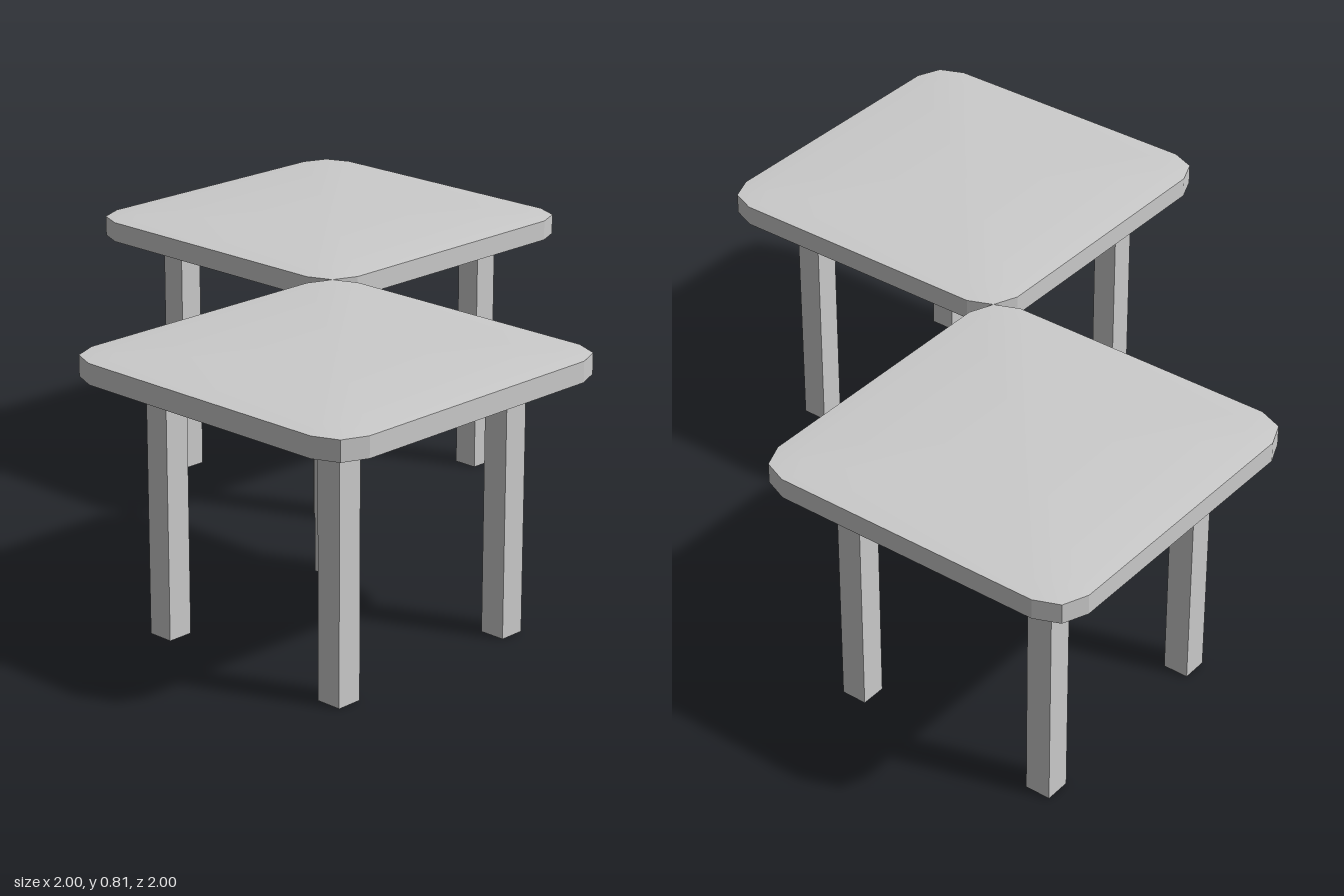
import * as THREE from 'three';
import { toCreasedNormals } from 'three/addons/utils/BufferGeometryUtils.js';

const material = new THREE.MeshStandardMaterial({ color: 0xcccccc });

// Square outline with each corner eased by two short edges.
function outline() {
  const pts = [];
  for (let q = 0; q < 4; q++) {
    const c = Math.round(Math.cos(q * Math.PI / 2)), s = Math.round(Math.sin(q * Math.PI / 2));
    for (const [x, z] of [[0.515, 0.412], [0.485, 0.485], [0.412, 0.515]]) {
      pts.push([x * c - z * s, x * s + z * c]);
    }
  }
  return pts;
}

// Slab lofted through scaled outlines: flat faces, shallow bevels, upright rim.
function slabGeometry() {
  const base = outline(), n = base.length, pos = [];
  const levels = [[0, 0.738], [0.87, 0.738], [1, 0.745], [1, 0.805], [0.87, 0.812], [0, 0.812]];
  const at = (l, i) => {
    const [scale, y] = levels[l], [x, z] = base[i % n];
    return [x * scale, y, z * scale];
  };
  for (let l = 0; l < levels.length - 1; l++) {
    for (let i = 0; i < n; i++) {
      const a = at(l, i), b = at(l, i + 1), c = at(l + 1, i + 1), d = at(l + 1, i);
      // The first and last levels are points, so they take one triangle per side
      if (l > 0) pos.push(...a, ...c, ...b);
      if (l < levels.length - 2) pos.push(...a, ...d, ...c);
    }
  }
  const geometry = new THREE.BufferGeometry();
  geometry.setAttribute('position', new THREE.Float32BufferAttribute(pos, 3));
  return toCreasedNormals(geometry, 0.35);
}

function createTable(name) {
  const table = new THREE.Group();
  table.name = name;

  const top = new THREE.Mesh(slabGeometry(), material);
  top.name = 'tableTop';
  table.add(top);

  // Four square legs
  const legGeometry = new THREE.BoxGeometry(0.077, 0.74, 0.077);
  for (const sx of [-1, 1]) {
    for (const sz of [-1, 1]) {
      const leg = new THREE.Mesh(legGeometry, material);
      leg.name = (sz > 0 ? 'front' : 'back') + (sx > 0 ? 'Left' : 'Right') + 'Leg';
      leg.position.set(sx * 0.321, 0.37, sz * 0.321);
      table.add(leg);
    }
  }
  return table;
}

export function createModel() {
  const model = new THREE.Group();
  model.name = 'tablePair';

  // Two identical tables meeting at one corner
  const front = createTable('frontTable');
  front.position.set(-0.485, 0, 0.485);
  const back = createTable('backTable');
  back.position.set(0.485, 0, -0.485);
  model.add(front, back);
  return model;
}
